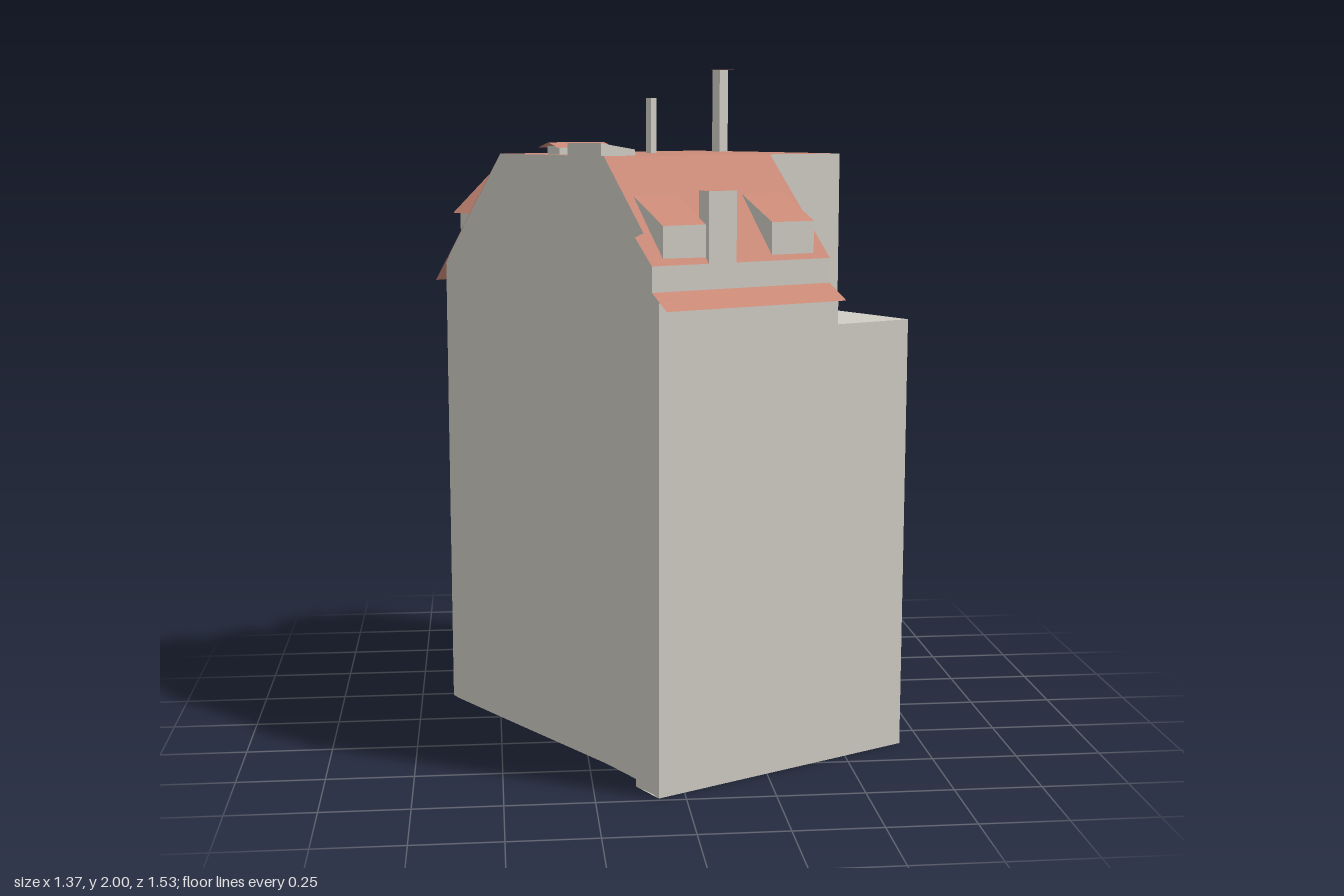
import * as THREE from 'three';

const wall = new THREE.MeshStandardMaterial({ color: 0xd0cdc4, side: THREE.DoubleSide });
wall.name = 'pale grey wall';
const tile = new THREE.MeshStandardMaterial({ color: 0xca8a77, side: THREE.DoubleSide });
tile.name = 'terracotta roof';

const TOP = 1.745;
const BACK_PITCH = 1.096, FRONT_PITCH = 1.055;

// Local frames of the two roof slopes: s runs along the slope's top edge, t outward
const frame = (ox, oz, dx, dz, nx, nz) => (s, t, y) => [ox + s * dx + t * nx, y, oz + s * dz + t * nz];
const back = frame(-0.48, 0.03, 0.786, -0.618, -0.618, -0.786);
const front = frame(-0.2, 0.45, 0.901, -0.433, 0.433, 0.901);
const backY = t => TOP - BACK_PITCH * t;
const frontY = t => TOP - FRONT_PITCH * t;

export function createModel() {
  const model = new THREE.Group();
  model.name = 'townhouse';

  function add(name, geometry, material, parent = model) {
    const mesh = new THREE.Mesh(geometry, material);
    mesh.name = name;
    parent.add(mesh);
    return mesh;
  }

  // Flat faces from corner loops; with a centre given, every face is turned away from it
  function faces(name, material, loops, centre, parent) {
    const pos = [];
    for (const loop of loops) {
      const p = loop.map(c => new THREE.Vector3(...c));
      for (let i = 1; i < p.length - 1; i++) {
        let tri = [p[0], p[i], p[i + 1]];
        if (centre) {
          const n = new THREE.Vector3().crossVectors(p[i].clone().sub(p[0]), p[i + 1].clone().sub(p[0]));
          if (n.dot(p[0].clone().sub(new THREE.Vector3(...centre))) < 0) tri = [p[0], p[i + 1], p[i]];
        }
        tri.forEach(v => pos.push(v.x, v.y, v.z));
      }
    }
    const g = new THREE.BufferGeometry();
    g.setAttribute('position', new THREE.Float32BufferAttribute(pos, 3));
    g.computeVertexNormals();
    return add(name, g, material, parent);
  }

  // A sheet whose plan outline may be concave, facing up or down
  function sheet(name, material, pts, up = true) {
    const tris = THREE.ShapeUtils.triangulateShape(pts.map(p => new THREE.Vector2(p[0], p[2])), []);
    const loops = tris.map(t => t.map(i => pts[i]));
    return faces(name, material, loops, [0, up ? -100 : 100, 0]);
  }

  // Plan corners [x, top, z]
  const A = [-0.05, 1.345, -0.767], B = [-0.684, 1.345, -0.277];
  const C = [-0.48, TOP, 0.03], D = [-0.2, TOP, 0.45];
  const E0 = [-0.105, 1.543, 0.617], E = [-0.13, 1.533, 0.64];
  const F0 = [-0.09, 1.46, 0.70], F0low = [-0.09, 1.39, 0.70], F = [-0.075, 1.365, 0.737];
  const H = [0.457, 1.365, 0.47], H0low = [0.437, 1.39, 0.44], H0 = [0.437, 1.46, 0.44];
  const I = [0.684, 1.275, 0.358], J = [0.528, TOP, 0.096], K = [0.3, TOP, 0.212];
  const Q = [0.41, TOP, -0.11], L = [0.227, TOP, -0.38], M = [0.162, TOP, -0.475];
  const onBack = (x, z) => [x, backY((x + 0.48) * -0.618 + (z - 0.03) * -0.786), z];
  const P = onBack(-0.29, -0.57), P2 = onBack(-0.265, -0.54);
  const B1 = onBack(-0.65, -0.235), B2 = onBack(-0.635, -0.205);
  const at = (p, y) => [p[0], y, p[2]];
  const strip = (pts, y) => pts.slice(1).map((q, i) => [at(pts[i], y), at(q, y), q, pts[i]]);

  // Main walls, lower terrace and base
  faces('mainWalls', wall, [
    ...strip([A, P, P2, B1, B2, C, D, E0, E, F0], 0),
    ...strip([F0low, F, H], 0),
    ...strip([H, H0low], 1.275), ...strip([H0, K, J], 1.275),
    ...strip([J, Q, L, M, A], 0),
  ]);
  faces('terraceWalls', wall, strip([at(H, 1.275), I, at(J, 1.275)], 0));
  sheet('terraceFloor', wall, [H, I, J, K].map(p => at(p, 1.275)));
  sheet('base', wall, [A, P, P2, B1, B2, C, D, E0, E, F, I, J, Q, L, M].map(p => at(p, 0)), false);

  // Roof planes
  sheet('flatRoof', tile, [C, D, K, J, Q, L, M]);
  sheet('backSlope', tile, [A, M, C, B]);
  sheet('frontSlope', tile, [D, E0, E, F0, H0, K]);
  faces('parapet', wall, [[F0low, H0low, H0, F0]]);
  sheet('frontEave', tile, [F0low, H0low, [0.474, 1.345, 0.50], [-0.057, 1.345, 0.762]]);

  // Shed dormers on the front slope
  for (const [s0, s1] of [[0.035, 0.178], [0.388, 0.53]]) {
    const g = new THREE.Group();
    g.name = 'frontDormer';
    model.add(g);
    const centre = front((s0 + s1) / 2, 0.2, 1.56);
    const t0 = 0.1, t1 = 0.256, y1 = 1.565;
    const cheek = s => [front(s, t0, frontY(t0)), front(s, t1, frontY(t1)), front(s, t1, y1)];
    faces('dormerWalls', wall, [cheek(s0), cheek(s1),
      [front(s0, t1, frontY(t1)), front(s1, t1, frontY(t1)), front(s1, t1, y1), front(s0, t1, y1)]], centre, g);
    faces('dormerRoof', tile, [[front(s0, t1, y1), front(s1, t1, y1),
      front(s1, t0, frontY(t0)), front(s0, t0, frontY(t0))]], centre, g);
  }

  // Dormers on the back slope: roof fans from an eave outline up to a short ridge
  function backDormer(name, s, eave, body, ridgeFront, ridgeBack) {
    const g = new THREE.Group();
    g.name = name;
    model.add(g);
    const y = 1.56, ry = backY(ridgeBack);
    const ring = (half, yy) => [...half.map(([w, t]) => back(s - w, t, yy(t))),
      ...half.slice().reverse().map(([w, t]) => back(s + w, t, yy(t)))];
    const e = ring(eave, () => y), n = e.length;
    const rf = back(s, ridgeFront, ry), rb = back(s, ridgeBack, ry);
    const roof = [[e[0], e[1], rf, rb], [e[n - 2], e[n - 1], rb, rf]];
    for (let i = 1; i < n - 2; i++) roof.push([e[i], e[i + 1], rf]);
    const centre = back(s, 0.2, 1.52);
    faces('dormerRoof', tile, roof, centre, g);
    faces('dormerSoffit', tile, [e], back(s, 0.2, 1.7), g);
    const lo = ring(body, backY), hi = ring(body, () => y);
    faces('dormerWalls', wall, lo.slice(1).map((q, i) => [lo[i], q, hi[i + 1], hi[i]]), centre, g);
  }
  for (const s of [0.4, 0.687])
    backDormer('backDormer', s, [[0.1, 0.167], [0.1, 0.258]], [[0.085, 0.169], [0.085, 0.242]], 0.17, 0.063);
  backDormer('bayDormer', 0.159, [[0.137, 0.17], [0.133, 0.267], [0.073, 0.331]],
    [[0.117, 0.17], [0.113, 0.257], [0.062, 0.31]], 0.195, 0.027);

  // Chimney rising through the front slope
  const chimney = add('frontChimney', new THREE.BoxGeometry(0.09, 0.265, 0.05),
    [wall, wall, tile, wall, wall, wall]);
  chimney.position.set(...front(0.216, 0.246, 1.5225));
  chimney.rotation.y = 0.448;

  // Flue posts with thin caps
  for (const [x, z, top, w, cw, cd] of [[0.223, -0.328, 2, 0.035, 0.064, 0.081], [-0.02, -0.077, 1.91, 0.023, 0.058, 0.062]]) {
    const g = new THREE.Group();
    g.name = 'flue';
    g.position.set(x, 0, z);
    g.rotation.y = 0.6;
    model.add(g);
    const h = top - TOP;
    add('fluePost', new THREE.BoxGeometry(w, h, w), wall, g).position.y = TOP + h / 2;
    add('flueCap', new THREE.PlaneGeometry(cw, cd).rotateX(-Math.PI / 2), tile, g).position.y = top + 0.001;
  }

  // Low vent with a pitched cover
  const vent = new THREE.Group();
  vent.name = 'roofVent';
  vent.position.set(-0.26, TOP, 0.144);
  vent.rotation.y = 0.565;
  model.add(vent);
  add('ventBase', new THREE.BoxGeometry(0.16, 0.024, 0.06), wall, vent).position.y = 0.012;
  const cover = [-1, 1].map(k => [[-0.099, 0.02, k * 0.05], [0.099, 0.02, k * 0.05], [0.099, 0.035, 0], [-0.099, 0.035, 0]]);
  faces('ventCover', tile, cover, [0, -1, 0], vent);

  // Open hatch frame with a sloping rim
  const rect = (C2, w, d) => new C2([[-w, -d], [w, -d], [w, d], [-w, d]].map(c => new THREE.Vector2(...c)));
  const rim = rect(THREE.Shape, 0.061, 0.076);
  rim.holes.push(rect(THREE.Path, 0.035, 0.05));
  const hatch = new THREE.ExtrudeGeometry(rim, { depth: 1, bevelEnabled: false }).rotateX(-Math.PI / 2);
  const hp = hatch.attributes.position;
  for (let i = 0; i < hp.count; i++) if (hp.getY(i) > 0.5) hp.setY(i, 0.026 - hp.getX(i) * 0.15);
  hatch.computeVertexNormals();
  const hatchMesh = add('hatchFrame', hatch, wall);
  hatchMesh.position.set(-0.2, TOP, 0.345);
  hatchMesh.rotation.y = 0.61;

  return model;
}
